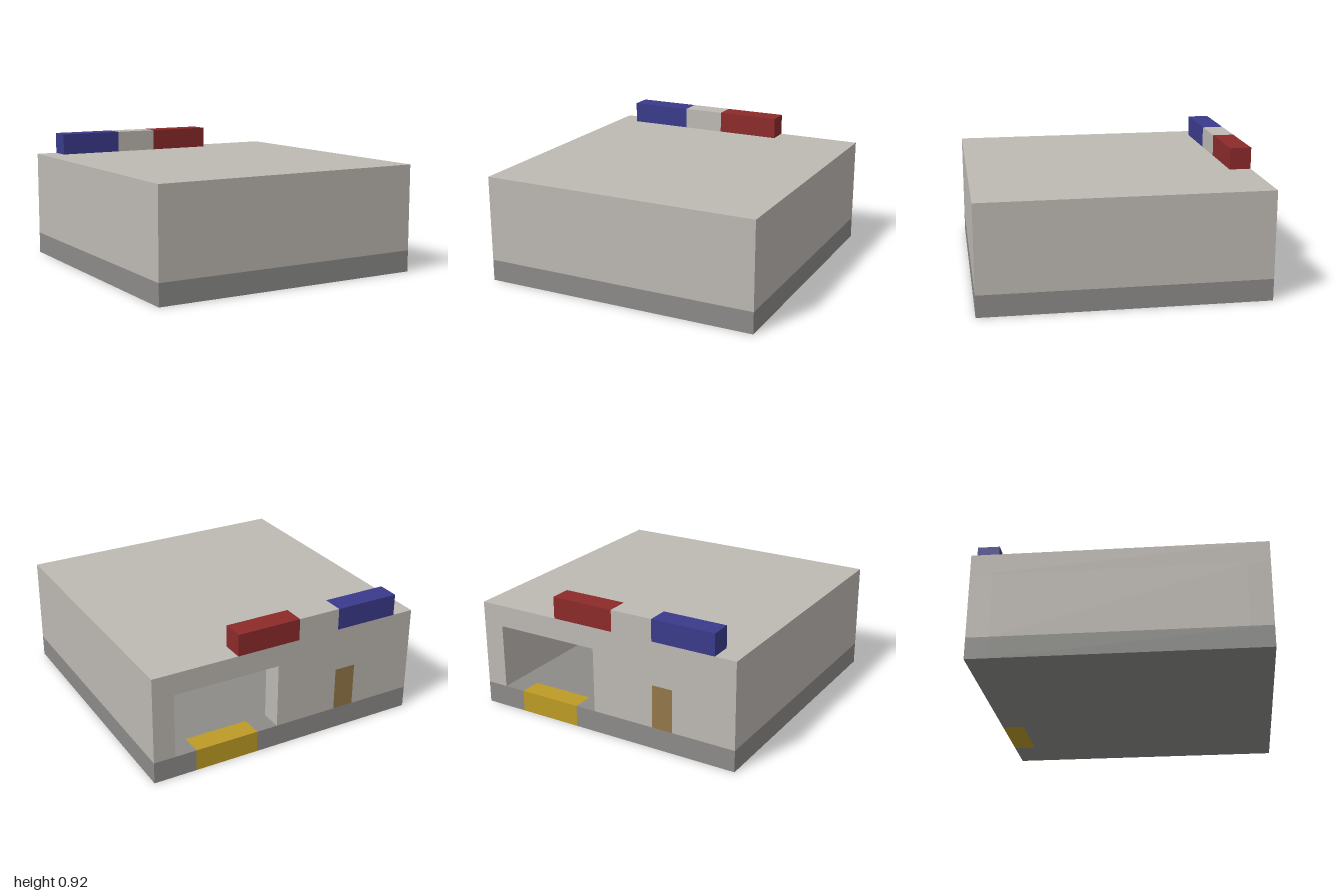
import * as THREE from 'three';

// The building sits on a 13 x 13 block grid; one block is U units wide.
const N = 13;
const U = 2 / N;

const material = (name, color) => {
  const m = new THREE.MeshStandardMaterial({ color });
  m.name = name;
  return m;
};

export function createModel() {
  const stone = material('pale stone', 0xbdb9b3);
  const concrete = material('grey concrete', 0x8c8b88);
  const blue = material('blue', 0x3a3a8c);
  const red = material('red', 0x8c2a2a);
  const yellow = material('yellow', 0xbd9b25);
  const wood = material('brown wood', 0x93774a);

  const model = new THREE.Group();
  model.name = 'building';

  const add = (name, mat, geometry) => {
    const mesh = new THREE.Mesh(geometry, mat);
    mesh.name = name;
    model.add(mesh);
    return mesh;
  };

  // Box given by its block ranges, counted from the -x, bottom, back corner
  const block = (name, mat, [x0, x1], [y0, y1], [z0, z1]) => {
    const mesh = add(name, mat, new THREE.BoxGeometry((x1 - x0) * U, (y1 - y0) * U, (z1 - z0) * U));
    mesh.position.set(((x0 + x1) / 2) * U - 1, ((y0 + y1) / 2) * U, ((z0 + z1) / 2) * U - 1);
  };

  // Rectangular outline in block units
  const rect = (PathType, x0, y0, x1, y1) => new PathType([
    [x0, y0], [x1, y0], [x1, y1], [x0, y1],
  ].map(([x, y]) => new THREE.Vector2(x * U, y * U)));

  // Foundation slab, with a painted threshold in its back row
  block('foundation', concrete, [0, N], [0, 1], [1, N]);
  block('foundationBackRight', concrete, [0, 8], [0, 1], [0, 1]);
  block('foundationBackLeft', concrete, [11, N], [0, 1], [0, 1]);
  block('threshold', yellow, [8, 11], [0, 1], [0, 1]);

  // Hollow shell: front and side walls, and the roof
  block('frontWall', stone, [0, N], [1, 4], [N - 1, N]);
  block('rightWall', stone, [0, 1], [1, 4], [1, N - 1]);
  block('leftWall', stone, [N - 1, N], [1, 4], [1, N - 1]);
  block('roof', stone, [0, N], [4, 5], [0, N]);

  // Back wall as one outline, notched for the small door and the wide bay
  const outline = [
    [0, 1], [3, 1], [3, 3], [4, 3], [4, 1], [7, 1], [7, 4], [0, 4],
  ].map(([x, y]) => new THREE.Vector2(x * U, y * U));
  const backShapes = [new THREE.Shape(outline), rect(THREE.Shape, 12, 1, 13, 4)];
  add('backWall', stone, new THREE.ExtrudeGeometry(backShapes, { depth: U, bevelEnabled: false }))
    .position.set(-1, 0, -1);
  block('door', wood, [3, 4], [1, 3], [0, 1]);

  // Light bar along the back edge of the roof
  block('blueLight', blue, [1, 4], [5, 6], [0, 1]);
  block('lightBarCentre', stone, [4, 6], [5, 6], [0, 1]);
  block('redLight', red, [6, 9], [5, 6], [0, 1]);

  return model;
}
